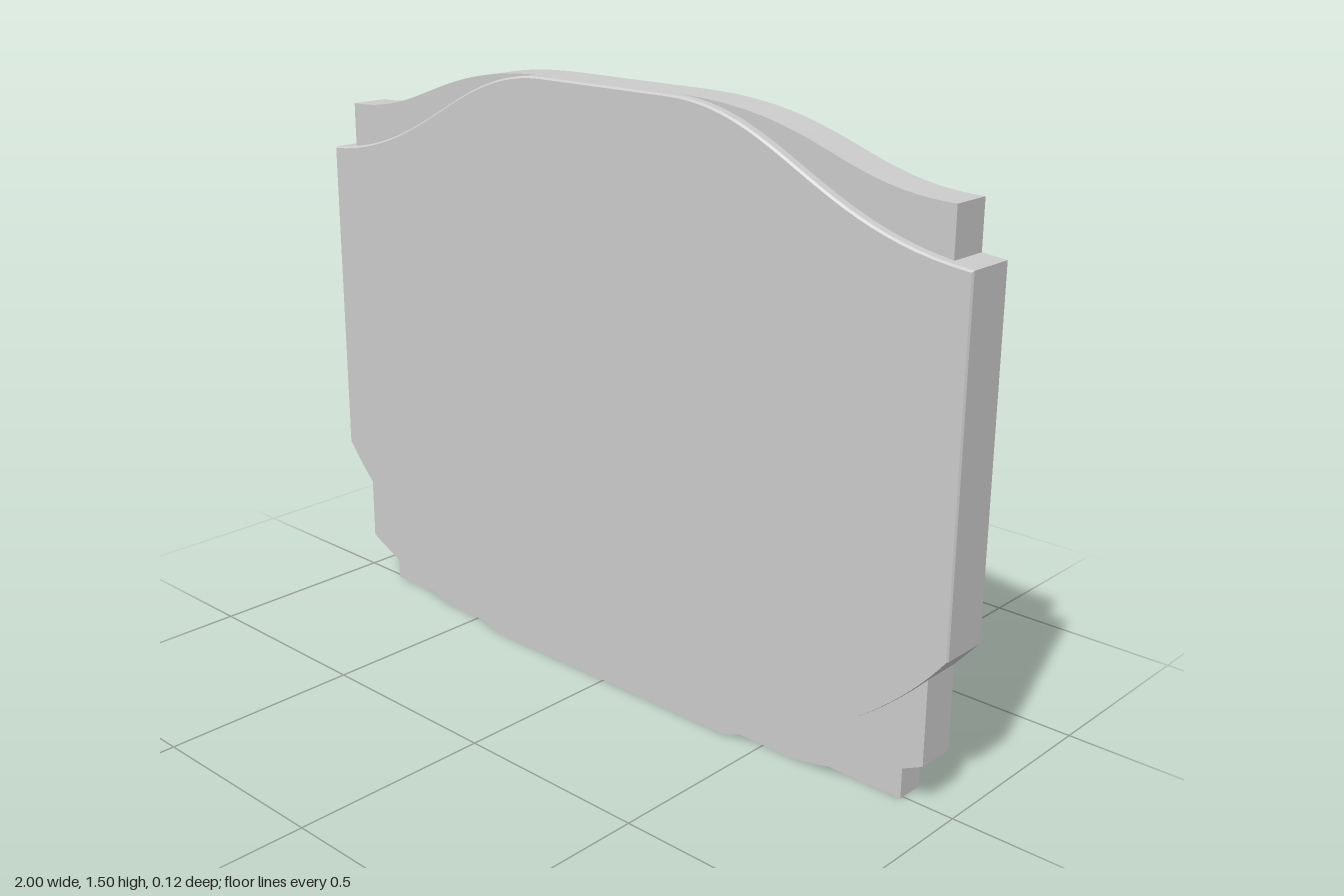
import * as THREE from 'three';
import { toCreasedNormals } from 'three/addons/utils/BufferGeometryUtils.js';

const STEPS = 24;

// Builds a symmetric outline from a path down the right-hand (+x) half, bottom to top.
function mirroredShape(draw) {
  const half = new THREE.Path();
  draw(half);
  const right = half.getPoints(STEPS);
  const left = right.map((p) => new THREE.Vector2(-p.x, p.y)).reverse();
  return new THREE.Shape([...right, ...left]);
}

// Full-width sides, with the ledge where the back slabs step in at the top.
function sideAndShoulder(p) {
  p.lineTo(0.94, 0.33);
  p.lineTo(1, 0.4);
  p.lineTo(1, 1.24);
  p.lineTo(0.94, 1.246);
  p.lineTo(0.94, 1.36);
  p.bezierCurveTo(0.65, 1.36, 0.6, 1.5, 0.2, 1.5);
}

const backOutline = (p) => {
  p.moveTo(0.87, 0);
  p.lineTo(0.87, 0.09);
  p.lineTo(0.94, 0.12);
  sideAndShoulder(p);
};

const middleOutline = (p) => {
  p.moveTo(0.58, 0);
  p.quadraticCurveTo(0.72, 0.01, 0.94, 0.12);
  sideAndShoulder(p);
};

const frontOutline = (p) => {
  p.moveTo(0.4, 0);
  p.quadraticCurveTo(0.8, 0.14, 1, 0.4);
  p.lineTo(1, 1.24);
  p.bezierCurveTo(0.62, 1.27, 0.5, 1.5, 0.2, 1.5);
};

export function createModel() {
  const group = new THREE.Group();
  group.name = 'panel';
  const material = new THREE.MeshStandardMaterial({ color: 0xcccccc });

  // taper narrows the front face slightly, giving a fine chamfer.
  function slab(name, outline, z0, z1, taper = 1) {
    const geometry = new THREE.ExtrudeGeometry(mirroredShape(outline), {
      depth: z1 - z0, bevelEnabled: false,
    });
    const pos = geometry.attributes.position;
    for (let i = 0; i < pos.count; i++) {
      if (pos.getZ(i) > 0) pos.setXY(i, pos.getX(i) * taper, pos.getY(i) * taper);
    }
    geometry.translate(0, 0, z0);
    geometry.computeVertexNormals();
    const mesh = new THREE.Mesh(toCreasedNormals(geometry, Math.PI / 7), material);
    mesh.name = name;
    group.add(mesh);
  }

  // Stepped slabs from back to front
  slab('backSlab', backOutline, -0.0625, 0.01);
  slab('middleSlab', middleOutline, 0.01, 0.0375);
  slab('frontSlab', frontOutline, 0.0375, 0.0575);
  slab('frontChamfer', frontOutline, 0.0575, 0.0625, 0.997);

  return group;
}
